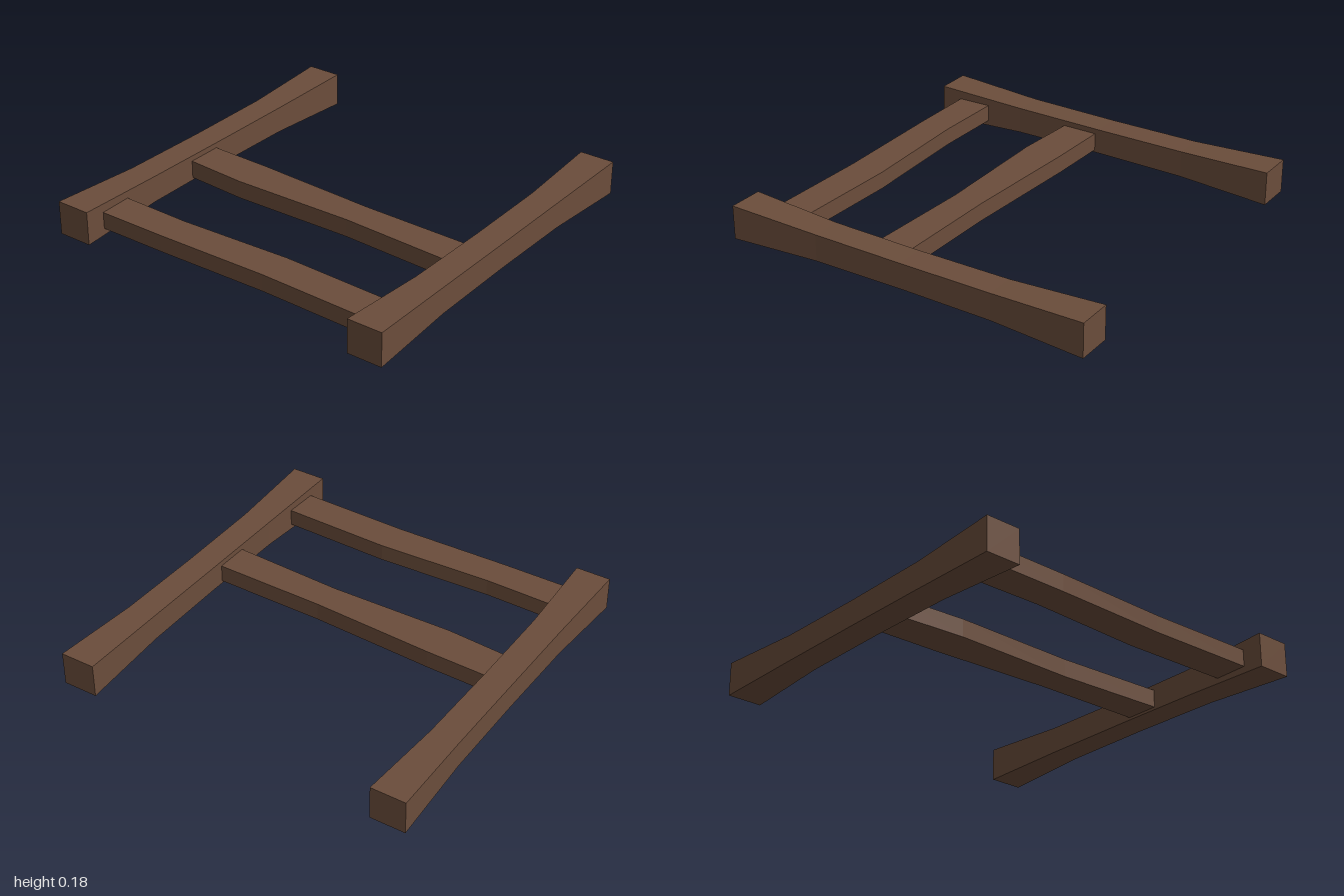
import * as THREE from 'three';

const wood = new THREE.MeshStandardMaterial({ color: 0x6b4d3b, flatShading: true });
wood.name = 'brown wood';

// Beam along z through rectangular sections [z, xMin, xMax, yMin, yMax], z increasing
function beam(name, sections) {
  const pos = [];
  const index = [];
  for (const [z, x0, x1, y0, y1] of sections) {
    pos.push(x0, y0, z, x1, y0, z, x1, y1, z, x0, y1, z);
  }
  for (let s = 0; s < sections.length - 1; s++) {
    for (let k = 0; k < 4; k++) {
      const a = s * 4 + k;
      const b = s * 4 + ((k + 1) % 4);
      index.push(a, b, b + 4, a, b + 4, a + 4);
    }
  }
  // End caps
  const e = (sections.length - 1) * 4;
  index.push(0, 2, 1, 0, 3, 2, e, e + 1, e + 2, e, e + 2, e + 3);
  const indexed = new THREE.BufferGeometry();
  indexed.setAttribute('position', new THREE.Float32BufferAttribute(pos, 3));
  indexed.setIndex(index);
  const geometry = indexed.toNonIndexed();
  geometry.computeVertexNormals();
  const mesh = new THREE.Mesh(geometry, wood);
  mesh.name = name;
  return mesh;
}

// Rung along x: sections [x, zBack, zFront], made as a z beam and turned a quarter
function rung(name, sections, y0, y1) {
  const mesh = beam(name, sections.map(([x, zb, zf]) => [x, -zf, -zb, y0, y1]));
  mesh.geometry.rotateY(Math.PI / 2);
  return mesh;
}

export function createModel() {
  const group = new THREE.Group();
  group.name = 'ladderSection';

  // Side rails, flared towards both ends: [z, half width, half height]
  const flare = [[-1, 0.094, 0.09], [-0.5, 0.077, 0.071], [0, 0.075, 0.068], [0.5, 0.077, 0.071], [1, 0.094, 0.09]];
  for (const [name, x] of [['leftRail', 0.88], ['rightRail', -0.88]]) {
    group.add(beam(name, flare.map(([z, w, h]) => [z, x - w, x + w, 0.09 - h, 0.09 + h])));
  }

  // Uneven rungs, set slightly into the rails
  group.add(rung('middleRung', [[-0.815, 0.022, 0.214], [-0.47, 0.03, 0.237], [0.2, 0.064, 0.226], [0.815, 0.071, 0.255]], 0.035, 0.13));
  group.add(rung('frontRung', [[-0.815, 0.705, 0.886], [-0.42, 0.712, 0.885], [0.2, 0.685, 0.872], [0.815, 0.702, 0.886]], 0.04, 0.13));
  return group;
}
